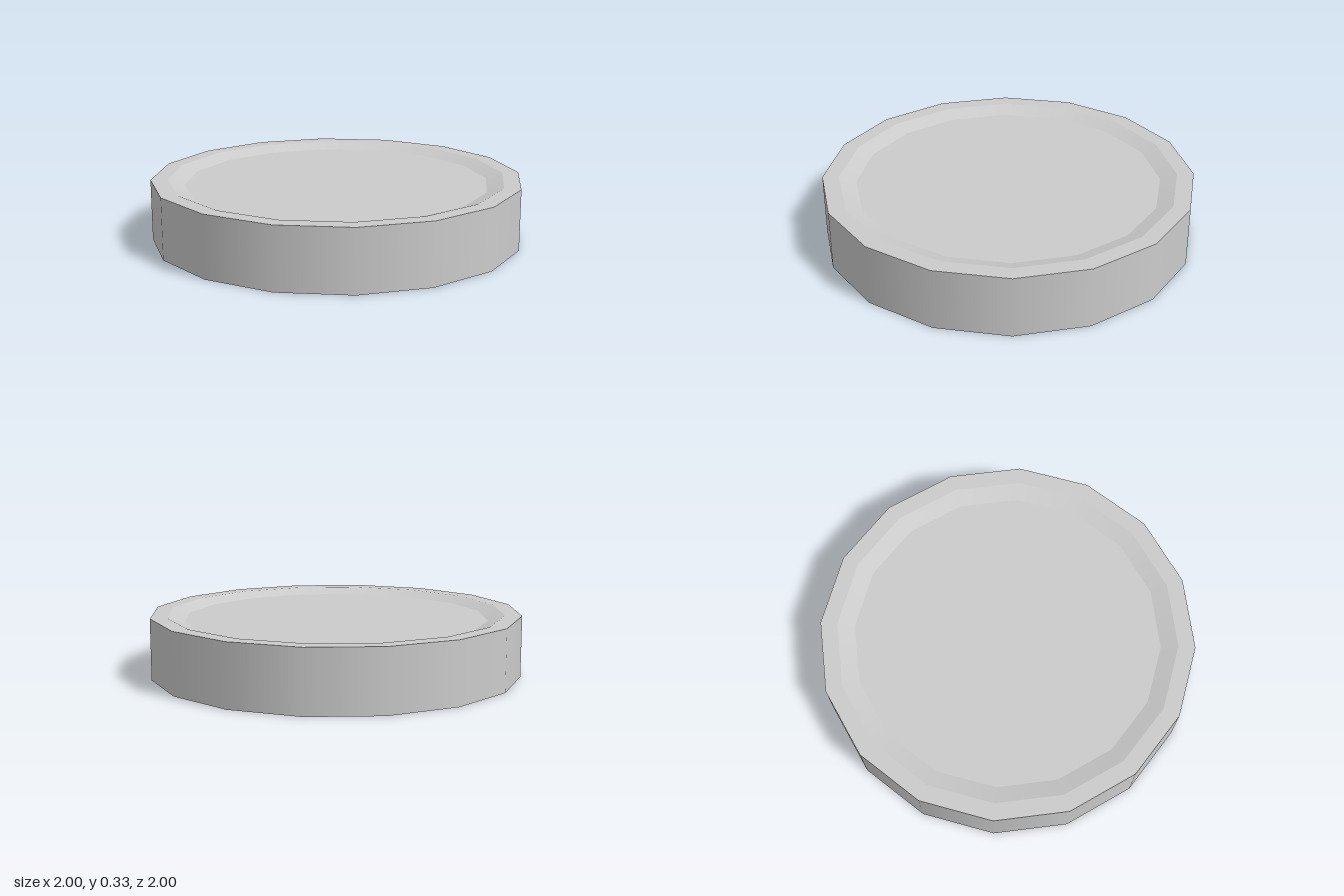
import * as THREE from 'three';

const SIDES = 16;
const HEIGHT = 0.33;
const RECESS = 0.03;
const RIM = 0.91;
const FLOOR = 0.82;

export function createModel() {
  const group = new THREE.Group();
  group.name = 'disc';
  const material = new THREE.MeshStandardMaterial({ color: 0xcccccc });

  // One ring between two profile points: smooth around, sharp at its borders
  const band = (name, r0, y0, r1, y1) => {
    const points = [new THREE.Vector2(r0, y0), new THREE.Vector2(r1, y1)];
    const mesh = new THREE.Mesh(new THREE.LatheGeometry(points, SIDES), material);
    mesh.name = name;
    group.add(mesh);
  };

  // Underside, from the centre outwards
  band('bottomFloor', 0, RECESS, FLOOR, RECESS);
  band('bottomBevel', FLOOR, RECESS, RIM, 0);
  band('bottomRim', RIM, 0, 1, 0);

  // Outer wall
  band('sideWall', 1, 0, 1, HEIGHT);

  // Top, from the edge inwards
  band('topRim', 1, HEIGHT, RIM, HEIGHT);
  band('topBevel', RIM, HEIGHT, FLOOR, HEIGHT - RECESS);
  band('topFloor', FLOOR, HEIGHT - RECESS, 0, HEIGHT - RECESS);

  return group;
}
